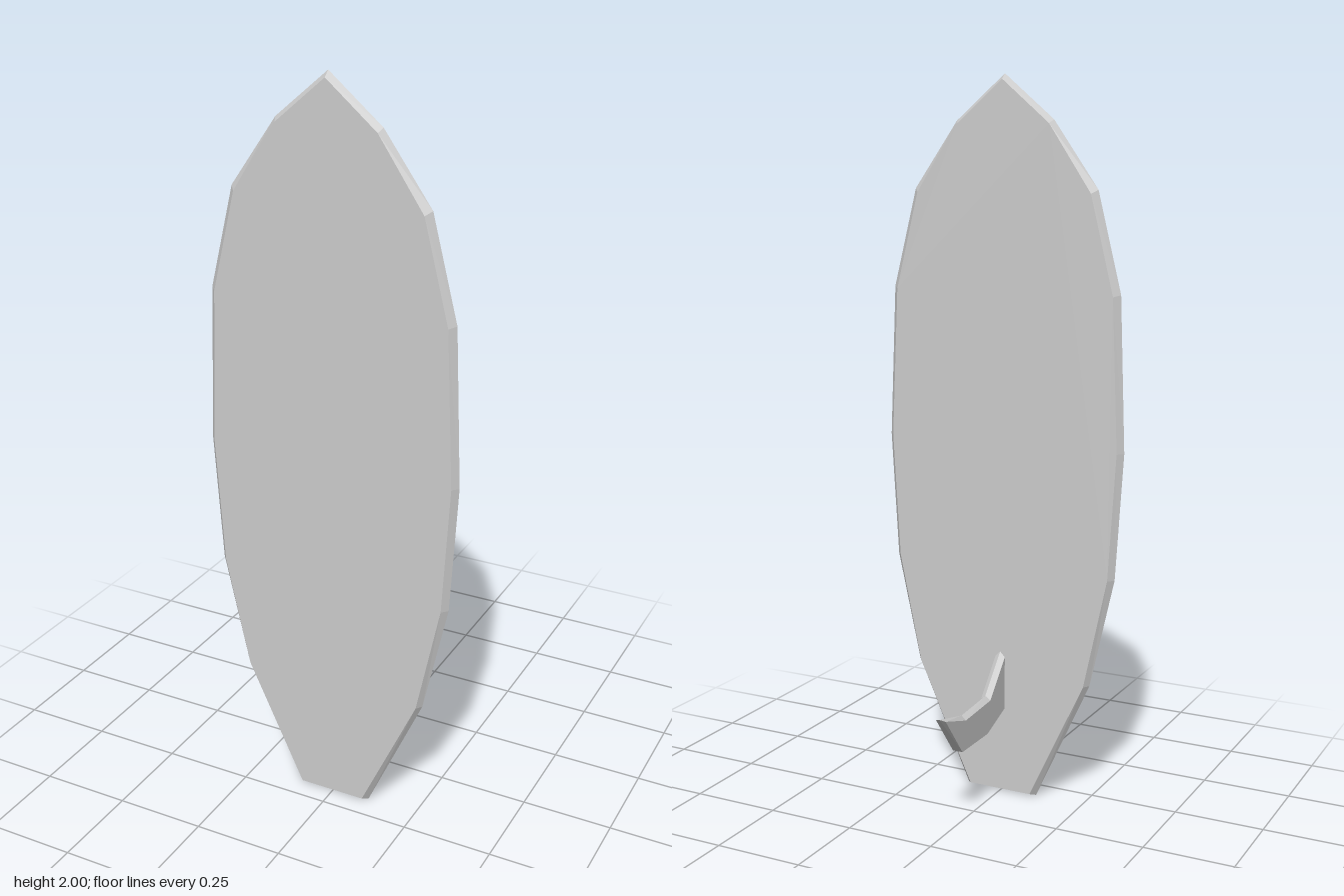
import * as THREE from 'three';

// Joins outlines [x, y] (counter-clockwise) at rising depths z, closing both ends.
function loft(name, layers, material) {
  const pos = [];
  const put = (layer, i) => pos.push(...layer.outline[i], layer.z);
  for (let k = 0; k < layers.length - 1; k++) {
    const a = layers[k], b = layers[k + 1], n = a.outline.length;
    for (let i = 0; i < n; i++) {
      const j = (i + 1) % n;
      put(a, i); put(a, j); put(b, j);
      put(a, i); put(b, j); put(b, i);
    }
  }
  const cap = (layer, flip) => {
    const points = layer.outline.map(([x, y]) => new THREE.Vector2(x, y));
    for (const [a, b, c] of THREE.ShapeUtils.triangulateShape(points, [])) {
      for (const i of flip ? [c, b, a] : [a, b, c]) put(layer, i);
    }
  };
  cap(layers[0], true);
  cap(layers[layers.length - 1], false);

  const geometry = new THREE.BufferGeometry();
  geometry.setAttribute('position', new THREE.Float32BufferAttribute(pos, 3));
  geometry.computeVertexNormals();
  const mesh = new THREE.Mesh(geometry, material);
  mesh.name = name;
  return mesh;
}

// Mirrors a half outline running from tail to nose; the last point is the nose.
const mirrored = (half) => [
  ...half,
  ...half.slice(0, -1).reverse().map(([x, y]) => [-x, y]),
];

export function createModel() {
  const group = new THREE.Group();
  group.name = 'surfboard';
  const material = new THREE.MeshStandardMaterial({ color: 0xcccccc, flatShading: true });

  // Board: widest at mid thickness, with bevelled rails to deck and underside
  const rail = mirrored([
    [0.107, 0], [0.266, 0.35], [0.335, 0.66], [0.356, 1.01],
    [0.339, 1.43], [0.271, 1.7], [0.143, 1.88], [0, 2],
  ]);
  const face = mirrored([
    [0.094, 0.006], [0.254, 0.35], [0.32, 0.66], [0.341, 1.01],
    [0.323, 1.425], [0.257, 1.69], [0.136, 1.87], [0, 1.985],
  ]);
  group.add(loft('board', [
    { outline: face, z: 0.163 },
    { outline: rail, z: 0.18 },
    { outline: face, z: 0.197 },
  ], material));

  // Fin: flat underneath, with a shallow ridge along its upper edge
  const finBase = [[-0.165, 0.25], [-0.055, 0.21], [0.095, 0.21]];
  const finRidge = [...finBase, [0.197, 0.333], [0.072, 0.304], [-0.07, 0.314], [-0.165, 0.418]];
  const finSide = [...finBase, [0.19, 0.328], [0.075, 0.293], [-0.073, 0.302], [-0.165, 0.403]];
  const fin = loft('fin', [
    { outline: finSide, z: -0.0145 },
    { outline: finRidge, z: 0 },
    { outline: finSide, z: 0.0145 },
  ], material);
  fin.rotation.y = Math.PI / 2;
  group.add(fin);

  return group;
}
